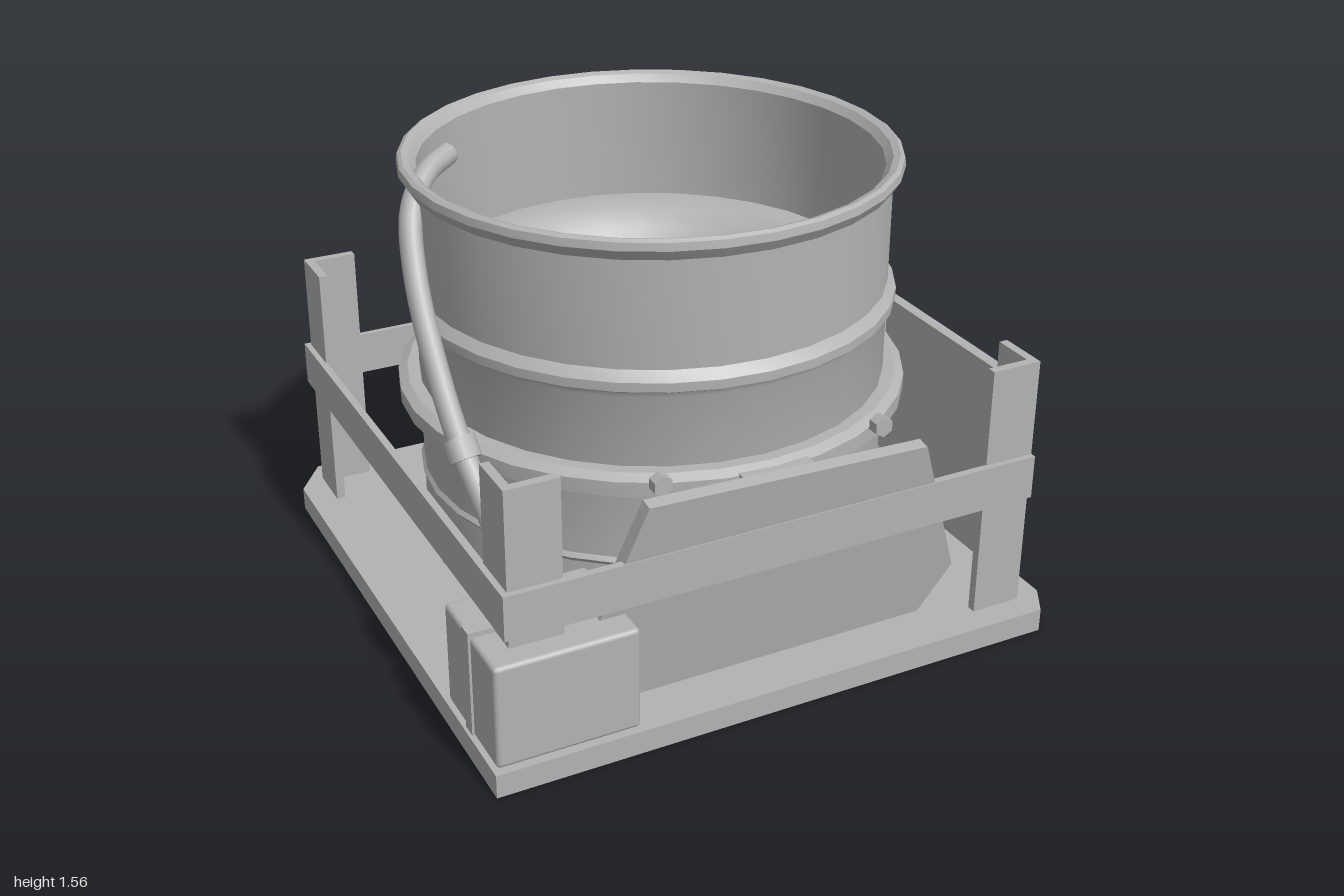
import * as THREE from 'three';
import { toCreasedNormals } from 'three/addons/utils/BufferGeometryUtils.js';
import { RoundedBoxGeometry } from 'three/addons/geometries/RoundedBoxGeometry.js';

export function createModel() {
  const model = new THREE.Group();
  const steel = new THREE.MeshStandardMaterial({ color: 0xb3b3b3 });
  steel.name = 'grey steel';

  const add = (name, geometry, parent = model) => {
    const mesh = new THREE.Mesh(geometry, steel);
    mesh.name = name;
    parent.add(mesh);
    return mesh;
  };
  // Box given by its lower and upper corners
  const block = (name, x0, x1, y0, y1, z0, z1, parent) => {
    const mesh = add(name, new THREE.BoxGeometry(x1 - x0, y1 - y0, z1 - z0), parent);
    mesh.position.set((x0 + x1) / 2, (y0 + y1) / 2, (z0 + z1) / 2);
    return mesh;
  };
  const polygon = (points) => new THREE.Shape(points.map(([x, y]) => new THREE.Vector2(x, y)));
  const lathe = (points, segments) => toCreasedNormals(
    new THREE.LatheGeometry(points.map(([r, y]) => new THREE.Vector2(r, y)), segments), 0.5);
  // Hexagonal bolt head, its axis along x, y or z
  const bolt = (name, axis, x, y, z, radius, depth) => {
    const geometry = toCreasedNormals(new THREE.CylinderGeometry(radius, radius, depth, 6), 0.5);
    if (axis === 'x') geometry.rotateZ(Math.PI / 2);
    if (axis === 'z') geometry.rotateX(Math.PI / 2);
    add(name, geometry).position.set(x, y, z);
  };

  // Base plate with two cut corners
  const base = new THREE.ExtrudeGeometry(
    polygon([[-1, -1], [0.94, -1], [1, -0.9], [1, 1], [-0.9, 1], [-1, 0.86]]),
    { depth: 0.08, bevelEnabled: false });
  base.rotateX(-Math.PI / 2);
  add('basePlate', base);

  // Angle-section corner posts; the right rear one is shorter
  const outer = 0.91, leg = 0.175, wall = 0.03;
  for (const [sx, sz, top] of [[-1, 1, 0.96], [1, 1, 0.96], [-1, -1, 0.96], [1, -1, 0.74]]) {
    const post = new THREE.Group();
    post.name = 'cornerPost';
    model.add(post);
    const span = (s, a, b) => (s > 0 ? [a, b] : [-b, -a]);
    block('postFace', ...span(sx, outer - leg, outer), 0.08, top, ...span(sz, outer - wall, outer), post);
    block('postSide', ...span(sx, outer - wall, outer), 0.08, top, ...span(sz, outer - leg, outer - wall), post);
  }

  // Rails on the front, back and one side
  block('frontRail', -0.93, 0.91, 0.48, 0.63, 0.905, 0.93);
  block('backRail', -0.93, 0.91, 0.48, 0.63, -0.925, -0.905);
  block('sideRail', -0.93, -0.905, 0.48, 0.63, -0.905, 0.905);

  // Bolted side plate
  block('sidePlate', 0.905, 0.945, 0.125, 0.84, -0.595, 0.72);
  for (const y of [0.185, 0.785]) {
    for (const z of [-0.535, 0.665]) bolt('plateBolt', 'x', 0.96, y, z, 0.03, 0.03);
  }

  // Drum: outer wall with beads and rolled rim, inner wall, shelf and funnel
  add('drum', lathe([
    [0, 0.185], [0.775, 0.185], [0.775, 0.435], [0.785, 0.45], [0.775, 0.465],
    [0.775, 1.02], [0.785, 1.04], [0.803, 1.05], [0.803, 1.08], [0.775, 1.11],
    [0.775, 1.46], [0.79, 1.465], [0.812, 1.5], [0.808, 1.525], [0.795, 1.533],
    [0.772, 1.525], [0.75, 1.5], [0.75, 1.08], [0.67, 1.08], [0.62, 1.063],
    [0.57, 1.02], [0.53, 0.975], [0.51, 0.93], [0, 0.93],
  ], 32));
  add('drumFlange', lathe([
    [0.77, 0.72], [0.845, 0.72], [0.845, 0.77], [0.815, 0.788], [0.77, 0.788],
  ], 32));

  // Shallow hub dome with a ring of bolts
  add('hub', lathe([[0.4, 0.93], [0.39, 0.945], [0.25, 0.965], [0, 0.975]], 16));
  for (let i = 0; i < 5; i++) {
    const a = (i * 2 * Math.PI) / 5;
    bolt('hubBolt', 'y', 0.337 * Math.cos(a), 0.965, 0.337 * Math.sin(a), 0.047, 0.04);
  }

  // Tabs tying the drum flange to the frame
  block('sideTab', 0.82, 0.905, 0.7, 0.8, -0.06, 0.055);
  block('frontTab', -0.12, 0.12, 0.7, 0.775, 0.82, 0.872);
  for (const [x, y] of [[-0.4, 0.83], [0.355, 0.845]]) bolt('flangeBolt', 'z', x, y, 0.865, 0.033, 0.04);

  // Leaning front panel
  const panel = add('frontPanel', new THREE.ExtrudeGeometry(
    polygon([[-0.52, 0], [0.555, 0], [0.66, 0.168], [0.475, 0.69], [-0.48, 0.725], [-0.62, 0.33]]),
    { depth: 0.045, bevelEnabled: false }));
  panel.position.set(0, 0.105, 0.8);
  panel.rotation.x = 0.152;

  // Junction box in two halves with a seam band
  const half = (name, z0, z1) => {
    const mesh = add(name, new RoundedBoxGeometry(0.465, 0.35, z1 - z0, 2, 0.015));
    mesh.position.set(-0.758, 0.265, (z0 + z1) / 2);
  };
  half('boxFront', 0.8, 0.99);
  half('boxRear', 0.6, 0.77);
  block('boxBand', -0.997, -0.52, 0.095, 0.455, 0.76, 0.81);

  // Cable running from inside the rim down to the box, with a collar
  const path = new THREE.CatmullRomCurve3([
    [-0.6, 1.525, -0.235], [-0.7, 1.5, -0.165], [-0.79, 1.42, -0.07], [-0.83, 1.25, 0.05],
    [-0.835, 1.0, 0.22], [-0.82, 0.8, 0.36], [-0.79, 0.62, 0.5], [-0.755, 0.43, 0.615],
  ].map((p) => new THREE.Vector3(...p)));
  add('cable', new THREE.TubeGeometry(path, 40, 0.037, 10));
  const capEnd = add('cableEnd', new THREE.CircleGeometry(0.037, 10));
  capEnd.position.copy(path.getPoint(0));
  capEnd.lookAt(path.getPoint(0).sub(path.getTangent(0)));
  const collar = add('cableCollar', new THREE.CylinderGeometry(0.052, 0.052, 0.07, 12));
  collar.position.set(-0.82, 0.8, 0.36);
  collar.quaternion.setFromUnitVectors(new THREE.Vector3(0, 1, 0), path.getTangent(5 / 7));

  return model;
}
